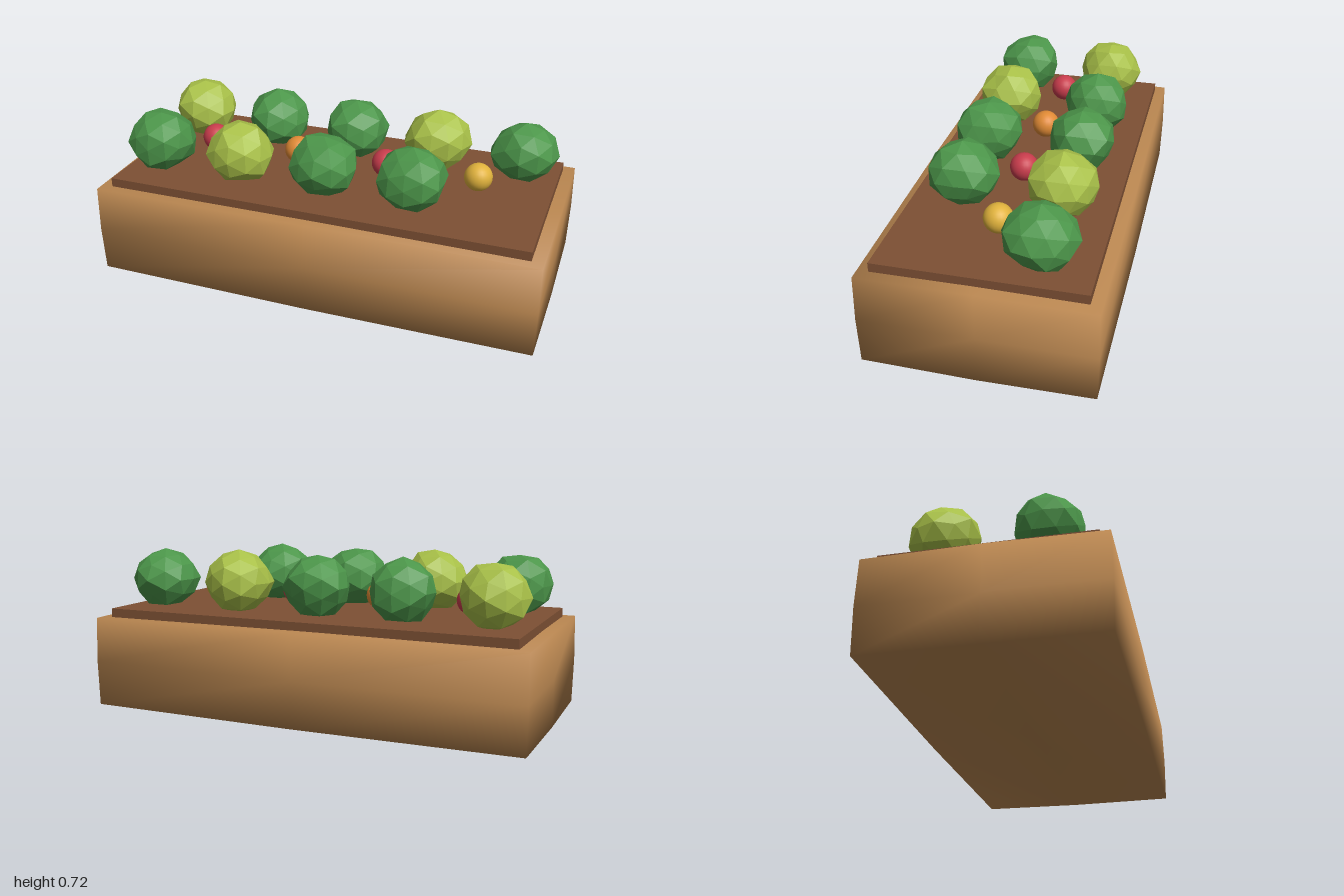
import * as THREE from 'three';
import { mergeVertices } from 'three/addons/utils/BufferGeometryUtils.js';

const mat = (color, flatShading = false) => new THREE.MeshStandardMaterial({ color, flatShading });

function addMesh(parent, name, geometry, material, x, y, z) {
  const mesh = new THREE.Mesh(geometry, material);
  mesh.name = name;
  mesh.position.set(x, y, z);
  parent.add(mesh);
  return mesh;
}

// Seeded generator for the uneven foliage
function seeded(seed) {
  let s = seed * 7919 + 17;
  return () => (s = (s * 16807) % 2147483647) / 2147483647;
}

// Wooden box with shared corners and faintly bowed sides
function boxGeometry(w, h, d, bow) {
  let geo = new THREE.BoxGeometry(w, h, d, 2, 2, 2);
  geo.deleteAttribute('uv');
  geo.deleteAttribute('normal');
  geo = mergeVertices(geo);
  const p = geo.attributes.position;
  const v = new THREE.Vector3();
  for (let i = 0; i < p.count; i++) {
    v.fromBufferAttribute(p, i);
    const centred = [v.x, v.y, v.z].filter((c) => Math.abs(c) < 1e-4).length;
    if (centred) {
      v.x += Math.sign(v.x) * bow;
      v.y += Math.sign(v.y) * bow;
      v.z += Math.sign(v.z) * bow;
    }
    p.setXYZ(i, v.x, v.y, v.z);
  }
  geo.computeVertexNormals();
  return geo;
}

// Faceted leafy head: a jittered icosphere, slightly squashed
function bushGeometry(seed) {
  let geo = new THREE.IcosahedronGeometry(0.15, 1);
  geo.deleteAttribute('uv');
  geo.deleteAttribute('normal');
  geo = mergeVertices(geo);
  const rand = seeded(seed);
  const p = geo.attributes.position;
  for (let i = 0; i < p.count; i++) {
    const k = 0.93 + 0.13 * rand();
    p.setXYZ(i, p.getX(i) * k, p.getY(i) * k * 0.92, p.getZ(i) * k);
  }
  geo.computeVertexNormals();
  return geo;
}

export function createModel() {
  const model = new THREE.Group();
  model.name = 'planter';

  addMesh(model, 'planterBox', boxGeometry(1.985, 0.405, 0.956, 0.004), mat(0xb98650), 0, 0.212, 0);
  addMesh(model, 'soil', new THREE.BoxGeometry(1.885, 0.08, 0.862), mat(0x7d5034), 0, 0.415, 0);

  // Two rows of leafy plants; the front row leaves its last place empty
  const green = mat(0x4c964a, true);
  const lime = mat(0xa8c048, true);
  const rows = [
    { z: -0.21, leaves: [lime, green, green, lime, green] },
    { z: 0.215, leaves: [green, lime, green, green] },
  ];
  const plants = new THREE.Group();
  plants.name = 'leafyPlants';
  model.add(plants);
  rows.forEach(({ z, leaves }, r) => {
    leaves.forEach((leaf, i) => {
      addMesh(plants, 'leafyPlant', bushGeometry(r * 5 + i + 1), leaf, (i - 2) * 0.394, 0.582, z);
    });
  });

  // Round fruits along the middle
  const fruits = new THREE.Group();
  fruits.name = 'fruits';
  model.add(fruits);
  const fruitGeo = new THREE.SphereGeometry(0.062, 24, 16);
  [0xc83c4c, 0xe08a35, 0xc83c4c, 0xe0b23c].forEach((color, i) => {
    addMesh(fruits, 'fruit', fruitGeo, mat(color), (i - 1.5) * 0.42, 0.528, 0);
  });

  return model;
}
